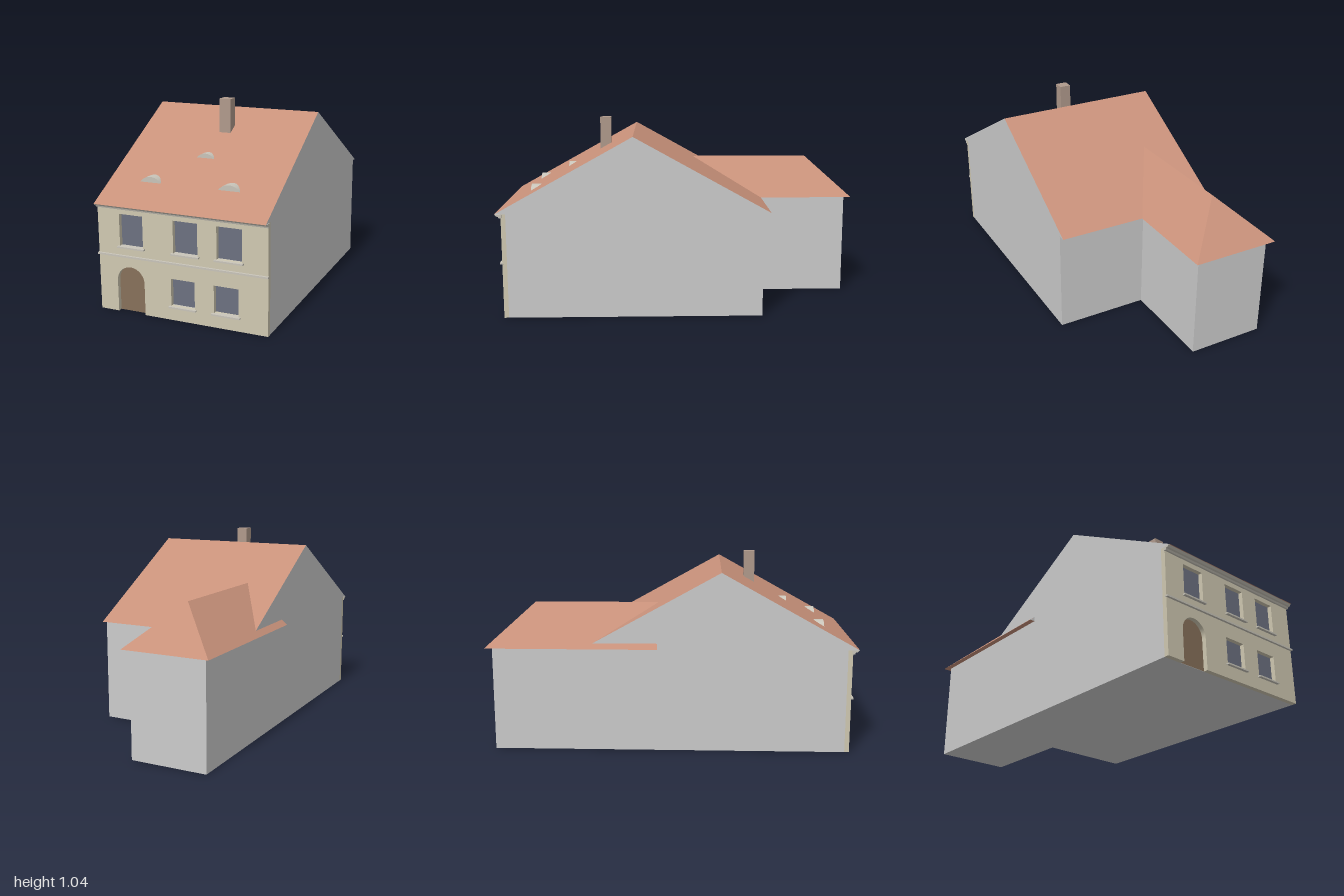
import * as THREE from 'three';

const mat = (color) => new THREE.MeshStandardMaterial({ color, flatShading: true });
const wall = mat(0xcccccc), cream = mat(0xd0c9b2), roofTile = mat(0xc8917a), glass = mat(0x6c7180);
const doorWood = mat(0x87715a), brick = mat(0xb09a8c), stone = mat(0xc9c5ba);

const X0 = -0.45, X1 = 0.475;          // side walls
const EAVE = 0.567, RIDGE = 0.975;     // roof heights
const FRONT = 0.965, RECESS = 0.94;    // facade face and window plane

export function createModel() {
  const house = new THREE.Group();
  house.name = 'house';

  const add = (name, geometry, material) => {
    const mesh = new THREE.Mesh(geometry, material);
    mesh.name = name;
    house.add(mesh);
    return mesh;
  };
  const box = (name, x0, x1, y0, y1, z0, z1, material) =>
    add(name, new THREE.BoxGeometry(x1 - x0, y1 - y0, z1 - z0)
      .translate((x0 + x1) / 2, (y0 + y1) / 2, (z0 + z1) / 2), material);
  // Profile of [z, y] points swept along x
  const sweepX = (name, points, x0, x1, material) => {
    const shape = new THREE.Shape(points.map(([z, y]) => new THREE.Vector2(-z, y)));
    const geometry = new THREE.ExtrudeGeometry(shape, { depth: x1 - x0, bevelEnabled: false });
    return add(name, geometry.rotateY(Math.PI / 2).translate(x0, 0, 0), material);
  };

  // Walls behind the facade, and the rear wing
  box('mainWalls', X0, X1, 0, EAVE, -0.43, RECESS, wall);
  box('wingWalls', X0, -0.03, 0, EAVE, -0.965, -0.43, wall);

  // Main gable roof: wall-coloured ends, tiled slopes
  sweepX('mainRoof', [[1, EAVE], [0.265, RIDGE], [-0.47, EAVE]], X0, X1, [wall, roofTile]);

  // Wing roof: hipped at the back, running into the main roof
  const corners = [
    [-0.48, EAVE, -1], [0, EAVE, -1], [0, EAVE, -0.075], [-0.48, EAVE, -0.075],
    [-0.24, 0.785, -0.76], [-0.24, 0.785, -0.08],
  ];
  const faces = [0, 4, 1, 1, 4, 5, 1, 5, 2, 0, 3, 5, 0, 5, 4, 0, 1, 2, 0, 2, 3];
  const wingRoof = new THREE.BufferGeometry();
  wingRoof.setAttribute('position',
    new THREE.Float32BufferAttribute(faces.flatMap((i) => corners[i]), 3));
  wingRoof.computeVertexNormals();
  add('wingRoof', wingRoof, roofTile);

  // Closed end of the wing's side eave
  const eaveEnd = new THREE.Shape([
    new THREE.Vector2(-0.48, EAVE), new THREE.Vector2(X0, EAVE), new THREE.Vector2(X0, EAVE + 0.0275),
  ]);
  add('wingEaveEnd', new THREE.ShapeGeometry(eaveEnd).translate(0, 0, -0.075), wall);

  // Facade with an arched doorway and window openings
  const doorL = -0.348, doorR = -0.193, doorMid = (doorL + doorR) / 2;
  const doorRadius = (doorR - doorL) / 2, spring = 0.167;
  const facade = new THREE.Shape();
  facade.moveTo(X0, 0);
  facade.lineTo(doorL, 0);
  facade.lineTo(doorL, spring);
  facade.absarc(doorMid, spring, doorRadius, Math.PI, 0, true);
  facade.lineTo(doorR, 0);
  facade.lineTo(X1, 0);
  facade.lineTo(X1, EAVE);
  facade.lineTo(X0, EAVE);
  facade.closePath();

  const windows = [
    [-0.327, -0.195, 0.353, 0.52], [-0.026, 0.106, 0.353, 0.52], [0.208, 0.34, 0.353, 0.52],
    [-0.043, 0.087, 0.075, 0.218], [0.191, 0.322, 0.075, 0.218],
  ];
  for (const [l, r, b, t] of windows) {
    facade.holes.push(new THREE.Path([
      new THREE.Vector2(l, b), new THREE.Vector2(l, t), new THREE.Vector2(r, t), new THREE.Vector2(r, b),
    ]));
    box('windowPane', l, r, b, t, RECESS - 0.005, RECESS + 0.002, glass);
    box('windowSill', l - 0.01, r + 0.01, b - 0.008, b, RECESS, 0.98, stone);
  }
  add('facade', new THREE.ExtrudeGeometry(facade,
    { depth: FRONT - RECESS, bevelEnabled: false, curveSegments: 24 }).translate(0, 0, RECESS), cream);

  // Door panel
  const door = new THREE.Shape();
  door.moveTo(doorL, 0);
  door.lineTo(doorR, 0);
  door.lineTo(doorR, spring);
  door.absarc(doorMid, spring, doorRadius, 0, Math.PI, false);
  door.closePath();
  add('door', new THREE.ShapeGeometry(door, 24).translate(0, 0, RECESS + 0.002), doorWood);

  // Floor band and stepped cornice
  box('floorBand', X0 - 0.003, X1 + 0.003, 0.297, 0.306, FRONT - 0.005, 0.977, stone);
  sweepX('cornice', [
    [0.96, 0.546], [0.975, 0.546], [0.978, 0.555], [0.988, 0.557], [0.996, EAVE], [0.96, EAVE],
  ], X0 - 0.003, X1 + 0.003, stone);

  // Chimney
  box('chimney', -0.005, 0.058, 0.84, 1.045, 0.4, 0.46, brick);

  // Eyebrow dormers: shallow arcs running back into the slope
  const dormers = [[-0.217, 0.66, 0.058, 0.029], [0.216, 0.66, 0.058, 0.029], [0, 0.765, 0.048, 0.023]];
  for (const [x, y, half, rise] of dormers) {
    const radius = (half * half + rise * rise) / (2 * rise);
    const angle = Math.asin(half / radius);
    const arc = new THREE.Shape();
    arc.absarc(0, rise - radius, radius, Math.PI / 2 - angle, Math.PI / 2 + angle, false);
    arc.closePath();
    const depth = 0.08;
    const z = 1 - (y - EAVE) / (RIDGE - EAVE) * 0.735;
    add('eyebrowDormer', new THREE.ExtrudeGeometry(arc, { depth, bevelEnabled: false, curveSegments: 16 })
      .translate(x, y, z - depth), stone);
  }

  return house;
}
